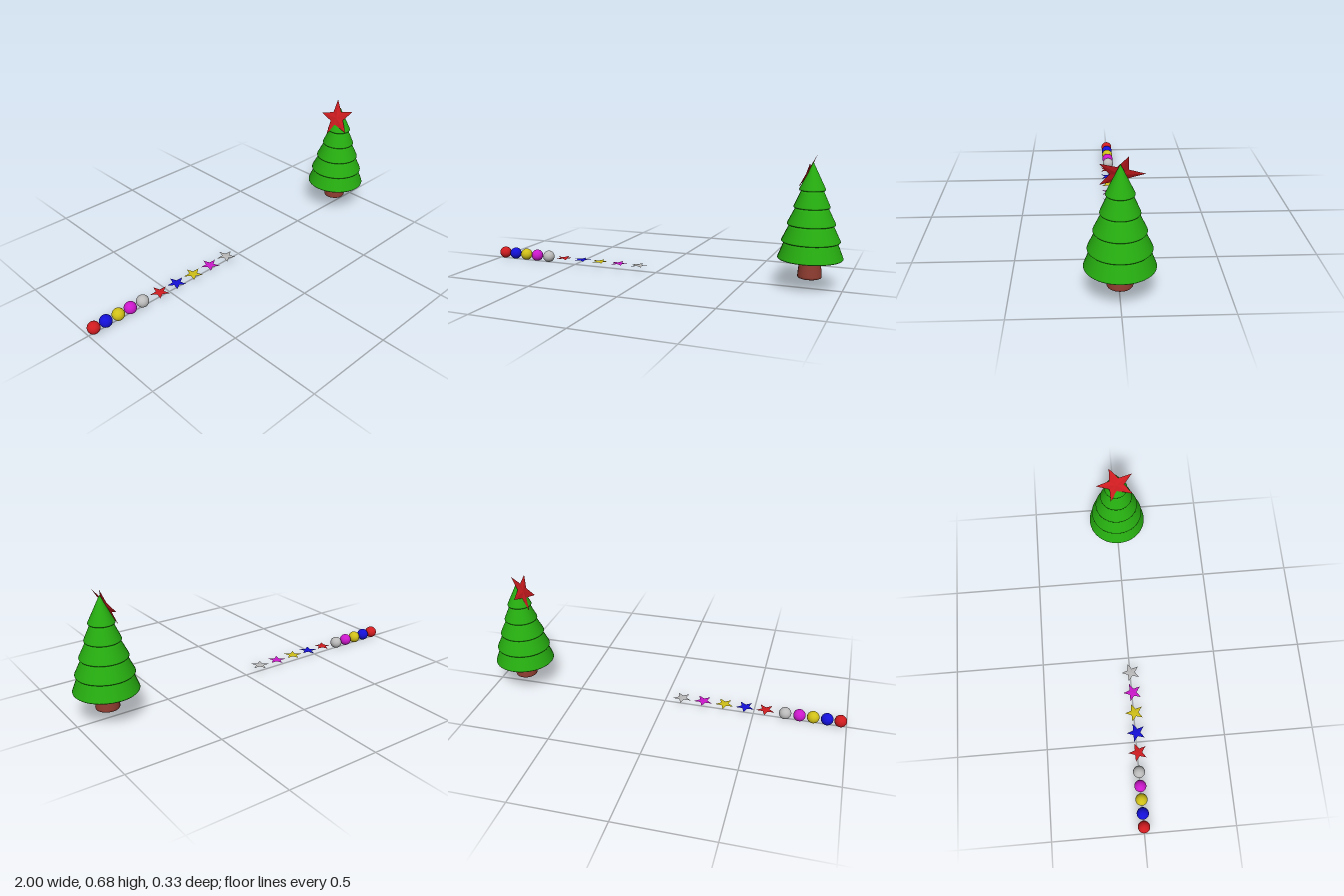
import * as THREE from 'three';

const COLORS = { red: 0xd01c20, blue: 0x1410d8, yellow: 0xd0c018, magenta: 0xcc18cc, silver: 0xbbbbbb };
const GREEN = 0x26ac10;
const BROWN = 0x8e3c30;

function addMesh(parent, name, geometry, color, flatShading = false) {
  const mesh = new THREE.Mesh(geometry, new THREE.MeshStandardMaterial({ color, flatShading }));
  mesh.name = name;
  parent.add(mesh);
  return mesh;
}

function lathe(profile) {
  return new THREE.LatheGeometry(profile.map(([r, y]) => new THREE.Vector2(r, y)), 48);
}

// Five-pointed star lying in the xz plane, first tip towards -z, slightly raised in the middle
function starGeometry(radius, half) {
  const rim = [];
  for (let i = 0; i < 10; i++) {
    const a = (i * Math.PI) / 5;
    const r = i % 2 ? radius * 0.41 : radius;
    rim.push([r * Math.sin(a), 0, -r * Math.cos(a)]);
  }
  const pos = [];
  for (let i = 0; i < 10; i++) {
    const a = rim[i], b = rim[(i + 1) % 10];
    pos.push(0, half, 0, ...b, ...a);
    pos.push(0, -half, 0, ...a, ...b);
  }
  const geometry = new THREE.BufferGeometry();
  geometry.setAttribute('position', new THREE.Float32BufferAttribute(pos, 3));
  geometry.computeVertexNormals();
  return geometry;
}

function createTree() {
  const tree = new THREE.Group();
  tree.name = 'tree';

  // Trunk with rounded foot
  addMesh(tree, 'trunk', lathe([
    [0, 0.056], [0.048, 0.056], [0.053, 0.0565], [0.058, 0.059], [0.0605, 0.064],
    [0.0605, 0.07], [0.059, 0.085], [0.054, 0.135], [0.053, 0.15],
  ]), BROWN);

  // Collar where the foliage meets the trunk
  addMesh(tree, 'collar', lathe([
    [0.052, 0.143], [0.056, 0.145], [0.06, 0.149], [0.063, 0.156],
  ]), GREEN);

  // Foliage tiers: bottom radius, bottom height, top radius, top height
  const tiers = [
    [0.163, 0.155, 0.13, 0.245],
    [0.146, 0.241, 0.107, 0.33],
    [0.12, 0.327, 0.08, 0.416],
    [0.09, 0.413, 0.053, 0.503],
    [0.065, 0.499, 0, 0.641],
  ];
  tiers.forEach(([r, y, topR, topY], i) => {
    const profile = [
      [0, y], [r - 0.016, y], [r - 0.008, y], [r - 0.003, y + 0.001],
      [r, y + 0.004], [r, y + 0.007], [r - 0.002, y + 0.012],
    ];
    for (let k = 1; k <= 5; k++) {
      const t = k / 5;
      profile.push([
        THREE.MathUtils.lerp(r - 0.002, topR, t),
        THREE.MathUtils.lerp(y + 0.012, topY, t),
      ]);
    }
    if (topR > 0) profile.push([topR - 0.02, topY]);
    addMesh(tree, `foliageTier${i + 1}`, lathe(profile), GREEN);
  });

  // Tree-top star leaning against the tip
  const star = addMesh(tree, 'treeTopStar', starGeometry(0.1105, 0.005), COLORS.red, true);
  star.position.set(-0.028, 0.583, 0);
  star.rotation.z = THREE.MathUtils.degToRad(66);
  return tree;
}

export function createModel() {
  const model = new THREE.Group();
  model.name = 'treeWithOrnaments';

  const tree = createTree();
  tree.position.x = 0.836;
  model.add(tree);

  // Row of baubles, then row of flat stars, in the same colour order
  const baubleX = [-0.967, -0.896, -0.822, -0.749, -0.672];
  const starX = [-0.565, -0.453, -0.338, -0.219, -0.099];
  Object.entries(COLORS).forEach(([name, color], i) => {
    const bauble = addMesh(model, `${name}Bauble`, new THREE.SphereGeometry(0.033, 32, 20), color);
    bauble.position.set(baubleX[i], 0.033, 0);
    const star = addMesh(model, `${name}Star`, starGeometry(0.0535, 0.0025), color, true);
    star.position.set(starX[i], 0.034, 0.005);
  });
  return model;
}
